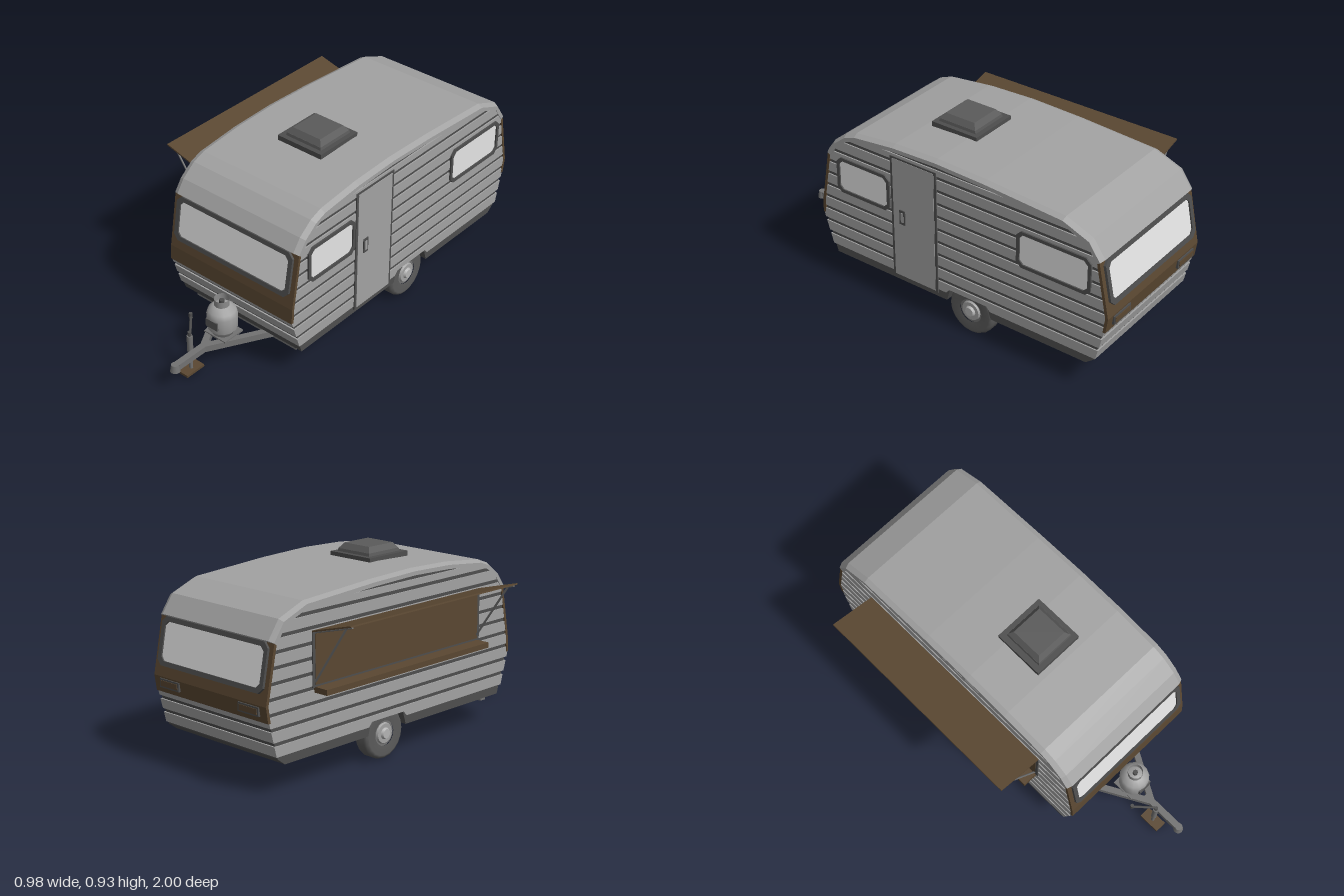
import * as THREE from 'three';

const mat = (name, color, side = THREE.FrontSide) => {
  const m = new THREE.MeshStandardMaterial({ color, side });
  m.name = name;
  return m;
};

export function createModel() {
  const M = {
    body: mat('body grey', 0xa2a2a2), trim: mat('dark trim', 0x4e4e4e), glass: mat('pale glass', 0xe4e4e4),
    brown: mat('brown', 0x5a4731), tyre: mat('tyre grey', 0x5a5a5a), metal: mat('steel grey', 0x727272),
    hub: mat('hub grey', 0xb4b4b4),
  };
  const root = new THREE.Group();
  root.name = 'caravan';
  const CX = 0.1125, HW = 0.3675, X0 = CX - HW, X1 = CX + HW;

  const add = (name, geo, m, parent = root) => {
    const mesh = new THREE.Mesh(geo, m);
    mesh.name = name;
    parent.add(mesh);
    return mesh;
  };
  const box = (name, m, w, h, d, x, y, z, parent) => {
    const b = add(name, new THREE.BoxGeometry(w, h, d), m, parent);
    b.position.set(x, y, z);
    return b;
  };
  // Straight bar between two points
  const rod = (name, m, a, b, r, sides = 8) => {
    const p = new THREE.Vector3(...a), q = new THREE.Vector3(...b), d = q.clone().sub(p);
    const c = add(name, new THREE.CylinderGeometry(r, r, d.length(), sides), m);
    c.position.copy(p).add(q).multiplyScalar(0.5);
    c.quaternion.setFromUnitVectors(new THREE.Vector3(0, 1, 0), d.normalize());
    return c;
  };
  // Side outline of [z, y] points extruded across x
  const prism = (name, m, pts, x0, x1) => {
    const s = new THREE.Shape(pts.map(p => new THREE.Vector2(...p)));
    const g = new THREE.ExtrudeGeometry(s, { depth: x1 - x0, bevelEnabled: false });
    return add(name, g.rotateY(-Math.PI / 2).translate(x1, 0, 0), m);
  };

  // Wall outlines, bottom to top, as [z, y]
  const front = [[0.55, 0.142], [0.612, 0.34], [0.607, 0.42], [0.56, 0.69], [0.52, 0.745], [0.45, 0.795], [0.39, 0.82]];
  const back = [[-0.89, 0.142], [-0.932, 0.175], [-0.975, 0.35], [-0.985, 0.42], [-0.93, 0.69], [-0.88, 0.765], [-0.74, 0.82]];
  const zAt = (line, y) => {
    let i = 0;
    while (i < line.length - 2 && line[i + 1][1] < y) i++;
    const [a, b] = [line[i], line[i + 1]];
    return a[0] + (b[0] - a[0]) * (y - a[1]) / (b[1] - a[1]);
  };
  const between = (line, y0, y1) => [[zAt(line, y0), y0], ...line.filter(p => p[1] > y0 && p[1] < y1), [zAt(line, y1), y1]];
  const arch = y => [[-0.37, y], [-0.35, 0.208], [-0.14, 0.208], [-0.12, y]];

  // Dark core showing in the siding grooves; outer slabs have wheel arches
  const inset = p => [(p[0] + 0.19) * 0.99 - 0.19, p[1]];
  const shell = [...front, [0.17, 0.845], [-0.07, 0.852], [-0.34, 0.845], ...back.slice().reverse()].map(inset);
  prism('core', M.trim, shell, CX - 0.258, CX + 0.258);
  prism('rightCore', M.trim, [...shell, ...arch(0.142)], X0 + 0.006, CX - 0.258);
  prism('leftCore', M.trim, [...shell, ...arch(0.142)], CX + 0.258, X1 - 0.006);

  // Horizontal siding boards wrapping the body
  for (let i = 0; i < 10; i++) {
    const y0 = 0.186 + i * 0.067, y1 = Math.min(y0 + 0.049, 0.819);
    const pts = [...between(front, y0, y1), ...between(back, y0, y1).reverse()];
    if (i === 0) pts.push(...arch(y0));
    prism('sidingBoard', M.body, pts, X0, X1);
  }

  // Brown bands on both ends
  for (const [line, s, name] of [[front, 1, 'frontBand'], [back, -1, 'rearBand']]) {
    const e = between(line, 0.345, 0.7);
    prism(name, M.brown, [...e.map(p => [p[0] + s * 0.006, p[1]]), ...e.map(p => [p[0] - s * 0.008, p[1]]).reverse()],
      X0 - 0.001, X1 + 0.001);
  }

  // Curved roof shell lofted front to back, with chamfered long edges
  const roofLine = [[0.578, 0.695], [0.535, 0.755], [0.465, 0.81], [0.4, 0.835], [0.17, 0.86], [-0.07, 0.868],
    [-0.34, 0.86], [-0.75, 0.835], [-0.89, 0.78], [-0.95, 0.695]];
  const section = [[-0.37, 0.032], [-0.37, 0.013], [-0.345, 0], [0.345, 0], [0.37, 0.013], [0.37, 0.032]];
  const pos = [], idx = [], n = section.length, last = roofLine.length - 1;
  roofLine.forEach((p, i) => {
    const a = roofLine[Math.max(i - 1, 0)], b = roofLine[Math.min(i + 1, last)];
    const dz = b[0] - a[0], dy = b[1] - a[1], l = Math.hypot(dz, dy);
    for (const [x, d] of section) pos.push(CX + x, p[1] + d * dz / l, p[0] - d * dy / l);
    if (i < last) for (let j = 0; j < n; j++) {
      const q = i * n + j, r = i * n + (j + 1) % n;
      idx.push(q, r, r + n, q, r + n, q + n);
    }
  });
  for (let j = 1; j < n - 1; j++) idx.push(0, j + 1, j, last * n, last * n + j, last * n + j + 1);
  const indexed = new THREE.BufferGeometry();
  indexed.setAttribute('position', new THREE.Float32BufferAttribute(pos, 3));
  indexed.setIndex(idx);
  const roofGeo = indexed.toNonIndexed();
  roofGeo.computeVertexNormals();
  add('roof', roofGeo, M.body);

  // Windows: chamfered frame with a glass pane, facing +z
  const outline = (w, h, c, T) => new T([[-w, -h + c], [-w + c, -h], [w - c, -h], [w, -h + c], [w, h - c], [w - c, h], [-w + c, h], [-w, h - c]]
    .map(p => new THREE.Vector2(...p)));
  const windowUnit = (name, w, h, f) => {
    const g = new THREE.Group();
    g.name = name;
    const s = outline(w / 2, h / 2, 0.025, THREE.Shape);
    s.holes.push(outline(w / 2 - f, h / 2 - f, 0.02, THREE.Path));
    add('windowFrame', new THREE.ExtrudeGeometry(s, { depth: 0.016, bevelEnabled: false }), M.trim, g).position.z = -0.004;
    add('windowGlass', new THREE.ExtrudeGeometry(outline(w / 2 - f * 0.8, h / 2 - f * 0.8, 0.02, THREE.Shape),
      { depth: 0.008, bevelEnabled: false }), M.glass, g).position.z = -0.003;
    root.add(g);
    return g;
  };
  const fw = windowUnit('frontWindow', 0.69, 0.222, 0.022);
  fw.position.set(CX, 0.578, 0.586);
  fw.rotation.x = -0.172;
  const rw = windowUnit('rearWindow', 0.69, 0.222, 0.022);
  rw.position.set(CX, 0.578, -0.959);
  rw.rotation.set(-0.2, Math.PI, 0, 'YXZ');
  for (const [name, z, w] of [['frontSideWindow', 0.352, 0.315], ['rearSideWindow', -0.708, 0.385]]) {
    const g = windowUnit(name, w, 0.185, 0.016);
    g.position.set(X1 - 0.004, 0.597, z);
    g.rotation.y = Math.PI / 2;
  }

  // Door with frame and handle
  box('doorFrame', M.trim, 0.008, 0.64, 0.262, X1, 0.487, 0.055);
  box('door', M.body, 0.012, 0.622, 0.236, X1, 0.487, 0.055);
  box('handlePlate', M.trim, 0.006, 0.075, 0.032, X1 + 0.007, 0.503, 0.12);
  box('handle', M.body, 0.006, 0.05, 0.014, X1 + 0.009, 0.503, 0.12);

  // Rear lamps
  for (const s of [-1, 1]) {
    box('lampFrame', M.trim, 0.13, 0.042, 0.012, CX + s * 0.26, 0.392, -0.99);
    box('lamp', M.brown, 0.112, 0.026, 0.014, CX + s * 0.26, 0.392, -0.992);
  }

  // Roof vent
  box('ventBase', M.trim, 0.256, 0.026, 0.254, 0.11, 0.873, 0.013);
  const vent = (name, r0, r1, h, y) => {
    const g = new THREE.CylinderGeometry(r1 * Math.SQRT2, r0 * Math.SQRT2, h, 4).rotateY(Math.PI / 4).toNonIndexed();
    g.computeVertexNormals();
    add(name, g, M.tyre).position.set(0.113, y, 0.013);
  };
  vent('ventRim', 0.103, 0.1, 0.016, 0.892);
  vent('ventLid', 0.1, 0.08, 0.027, 0.9125);

  // Serving hatch: panel, awning, stays and counter
  const hz = -0.167, hl = 1.105;
  box('hatchFrame', M.trim, 0.008, 0.25, hl, X0, 0.572, hz);
  box('hatchPanel', M.brown, 0.012, 0.226, hl - 0.03, X0, 0.572, hz);
  prism('counter', M.brown, [[hz - 0.54, 0.424], [hz + 0.54, 0.424], [hz + 0.54, 0.45], [hz - 0.54, 0.45]], -0.33, X0 + 0.004);
  const awning = box('awning', M.brown, 0.24, 0.007, hl, -0.37, 0.727, hz);
  awning.rotation.z = -Math.atan2(0.06, 0.23);
  for (const z of [hz - 0.535, hz + 0.535]) {
    rod('awningStay', M.metal, [-0.445, 0.74, z], [X0, 0.47, z], 0.005, 6);
    rod('awningArm', M.metal, [-0.48, 0.749, z], [X0, 0.69, z], 0.005, 6);
  }

  // Wheels and axle
  const tyre = [[0.06, -0.036], [0.105, -0.04], [0.117, -0.034], [0.123, -0.022], [0.123, 0.022], [0.117, 0.034], [0.105, 0.04], [0.06, 0.036]];
  for (const s of [-1, 1]) {
    const wheel = new THREE.Group();
    wheel.name = s > 0 ? 'leftWheel' : 'rightWheel';
    add('tyre', new THREE.LatheGeometry(tyre.map(p => new THREE.Vector2(...p)), 20), M.tyre, wheel);
    add('rim', new THREE.CylinderGeometry(0.062, 0.062, 0.062, 20), M.metal, wheel);
    add('hubDisc', new THREE.CylinderGeometry(0.046, 0.052, 0.012, 20), M.body, wheel).position.y = 0.034;
    add('hubCap', new THREE.CylinderGeometry(0.022, 0.03, 0.014, 12), M.hub, wheel).position.y = 0.044;
    wheel.rotation.z = -s * Math.PI / 2;
    wheel.position.set(CX + s * 0.306, 0.123, -0.243);
    root.add(wheel);
  }
  rod('axle', M.metal, [CX - 0.28, 0.12, -0.243], [CX + 0.28, 0.12, -0.243], 0.018, 10);

  // Tow frame: cross bar, two converging arms, drawbar and coupler
  box('crossBar', M.metal, 0.615, 0.036, 0.035, CX, 0.124, 0.502);
  for (const s of [-1, 1]) {
    const arm = box('towArm', M.metal, 0.03, 0.032, 0.34, CX + s * 0.085, 0.126, 0.645);
    arm.rotation.y = -s * 0.51;
  }
  box('drawbar', M.metal, 0.032, 0.03, 0.21, CX, 0.127, 0.86);
  const coupler = add('coupler', new THREE.CylinderGeometry(0.018, 0.024, 0.036, 12), M.metal);
  coupler.position.set(CX, 0.126, 0.976);
  box('bottleShelf', M.metal, 0.13, 0.008, 0.12, CX, 0.143, 0.665);

  // Gas bottle
  const bottle = [[0, 0.146], [0.05, 0.146], [0.05, 0.158], [0.07, 0.178], [0.072, 0.25], [0.065, 0.275], [0.04, 0.299], [0, 0.304]];
  add('gasBottle', new THREE.LatheGeometry(bottle.map(p => new THREE.Vector2(...p)), 14), M.body).position.set(CX, 0, 0.67);
  const collarMat = mat('collar grey', 0x8c8c8c, THREE.DoubleSide);
  add('bottleCollar', new THREE.CylinderGeometry(0.036, 0.036, 0.036, 12, 1, true), collarMat).position.set(CX, 0.315, 0.67);
  rod('bottleValve', M.trim, [CX, 0.298, 0.67], [CX, 0.325, 0.67], 0.012);
  box('bottleLabel', M.tyre, 0.07, 0.042, 0.008, CX, 0.223, 0.738);

  // Jockey jack with foot and crank
  box('jackFoot', M.brown, 0.058, 0.012, 0.108, 0.08, 0.019, 0.848);
  rod('jackLeg', M.metal, [0.08, 0.02, 0.848], [0.08, 0.12, 0.848], 0.009);
  rod('jackTube', M.metal, [0.08, 0.09, 0.848], [0.08, 0.21, 0.848], 0.014);
  rod('jackTop', M.trim, [0.08, 0.205, 0.848], [0.08, 0.232, 0.848], 0.009);
  rod('crankArm', M.trim, [0.085, 0.222, 0.848], [0.004, 0.228, 0.762], 0.006);
  rod('crankGrip', M.trim, [0.004, 0.218, 0.762], [0.004, 0.246, 0.762], 0.009);

  return root;
}
